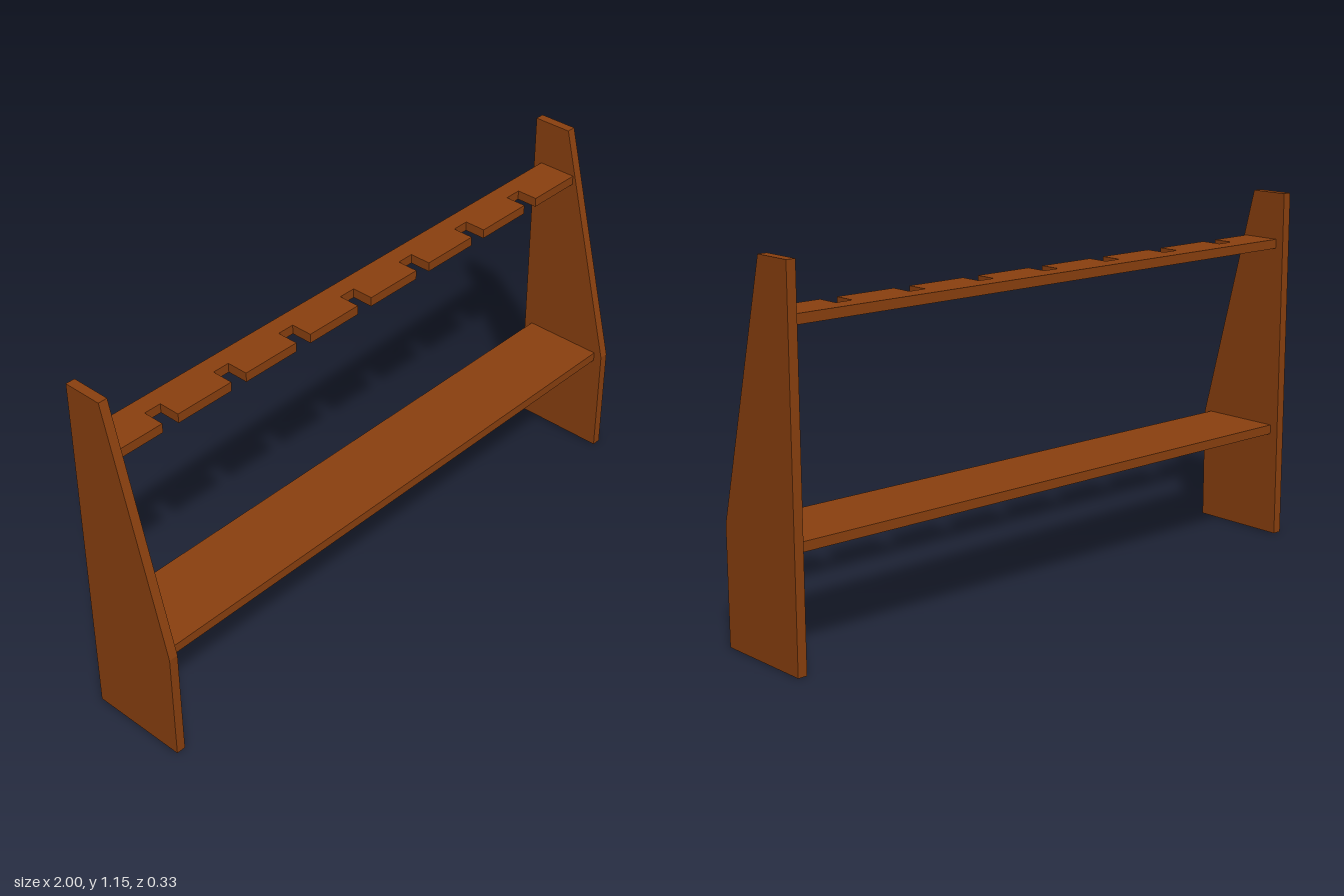
import * as THREE from 'three';

const wood = new THREE.MeshStandardMaterial({ color: 0x8b400f });
const THICK = 0.03;   // board thickness
const INNER = 0.97;   // inner face of the side panels

// Cut a board of the standard thickness from an outline
function board(name, points) {
  const shape = new THREE.Shape(points.map(([a, b]) => new THREE.Vector2(a, b)));
  const geometry = new THREE.ExtrudeGeometry(shape, { depth: THICK, bevelEnabled: false });
  const mesh = new THREE.Mesh(geometry, wood);
  mesh.name = name;
  return mesh;
}

export function createModel() {
  const group = new THREE.Group();
  group.name = 'notchedRack';

  // Tapered side panels, outline drawn as (-z, y)
  const sideOutline = [[-0.163, 0], [0.163, 0], [0.163, 1.15], [0.035, 1.15], [-0.163, 0.365]];
  for (const [name, x] of [['leftSide', INNER], ['rightSide', -INNER - THICK]]) {
    const side = board(name, sideOutline);
    side.geometry.rotateY(Math.PI / 2);
    side.position.x = x;
    group.add(side);
  }

  // Lower shelf
  const shelf = new THREE.Mesh(new THREE.BoxGeometry(2 * INNER, THICK, 0.268), wood);
  shelf.name = 'shelf';
  shelf.position.y = 0.357;
  group.add(shelf);

  // Upper rail with seven notches along its front edge, outline drawn as (x, -z)
  const front = 0.005, notchBack = 0.075, back = 0.134, notchWidth = 0.057;
  const outline = [[-INNER, front]];
  for (let i = 0; i < 7; i++) {
    const a = -0.817 + i * 0.2565, b = a + notchWidth;
    outline.push([a, front], [a, notchBack], [b, notchBack], [b, front]);
  }
  outline.push([INNER, front], [INNER, back], [-INNER, back]);
  const rail = board('notchedRail', outline);
  rail.geometry.rotateX(-Math.PI / 2);
  rail.position.y = 0.968;
  group.add(rail);

  return group;
}
